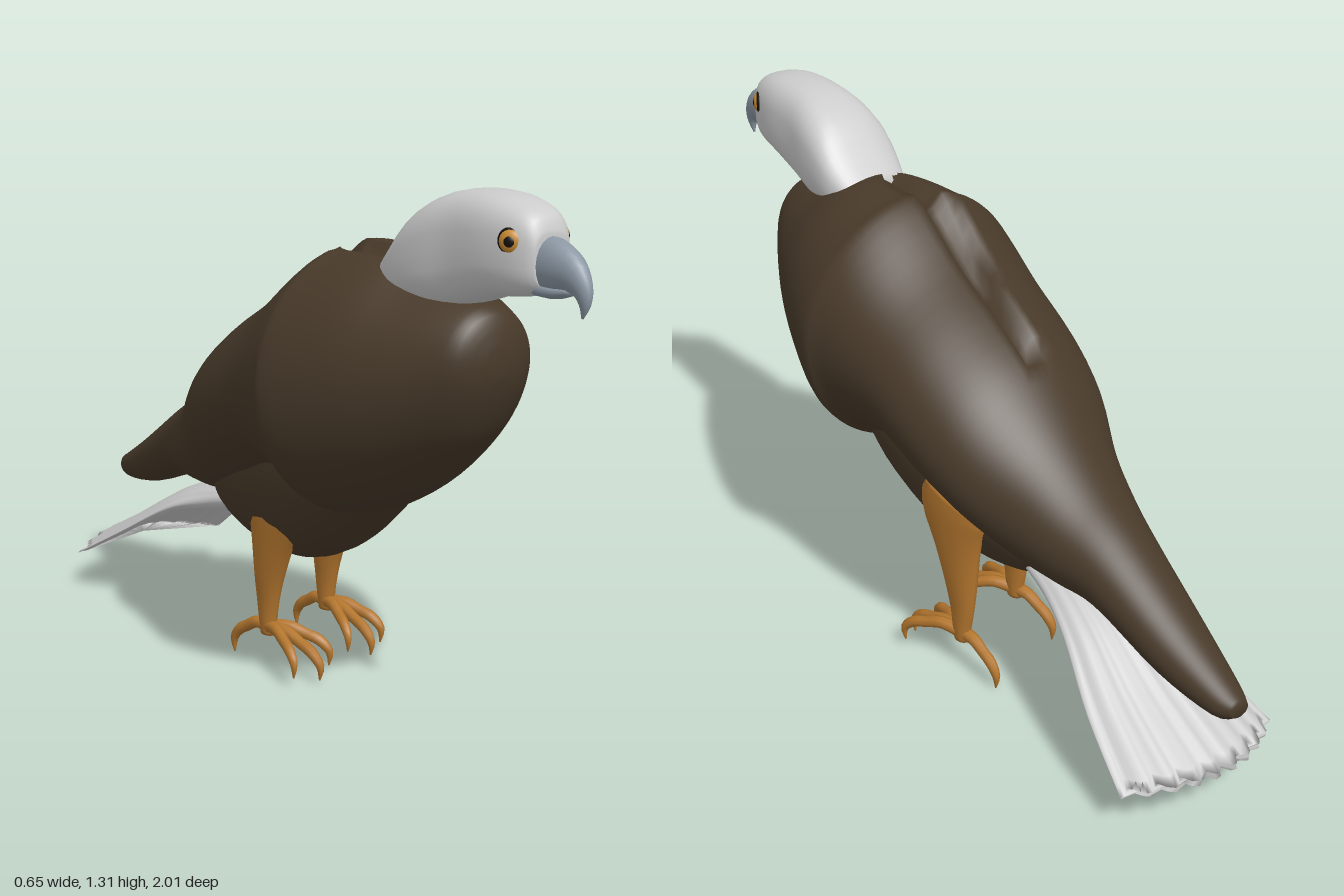
import * as THREE from 'three';

const mat = (color) => new THREE.MeshStandardMaterial({ color });
const brown = mat(0x483a2a), white = mat(0xd6d6d6), orange = mat(0xb5772f);
const horn = mat(0x8c98a4), black = mat(0x141210), amber = mat(0xc98a30);

// Catmull-Rom refinement of a table of section rows
function refine(rows, n) {
  const out = [];
  const at = (i) => rows[Math.max(0, Math.min(rows.length - 1, i))];
  for (let i = 0; i < rows.length - 1; i++) {
    for (let k = 0; k < n; k++) {
      const t = k / n;
      out.push(rows[i].map((b, c) => {
        const a = at(i - 1)[c], d = at(i + 1)[c], e = at(i + 2)[c];
        return 0.5 * (2 * b + (d - a) * t + (2 * a - 5 * b + 4 * d - e) * t * t + (3 * b - a - 3 * d + e) * t ** 3);
      }));
    }
  }
  out.push(rows[rows.length - 1]);
  return out;
}

// Closed skin over rings of points, with fan caps, always facing outwards
function skin(name, rings, material) {
  const seg = rings[0].length, pts = rings.flat(), idx = [];
  for (let i = 0; i < rings.length - 1; i++) {
    for (let j = 0; j < seg; j++) {
      const a = i * seg + j, b = i * seg + (j + 1) % seg;
      idx.push(a, a + seg, b, b, a + seg, b + seg);
    }
  }
  [0, rings.length - 1].forEach((r, end) => {
    const c = new THREE.Vector3();
    rings[r].forEach((p) => c.addScaledVector(p, 1 / seg));
    pts.push(c);
    for (let j = 0; j < seg; j++) {
      const a = r * seg + j, b = r * seg + (j + 1) % seg;
      idx.push(pts.length - 1, end ? b : a, end ? a : b);
    }
  });
  const m = new THREE.Vector3();
  let volume = 0;
  for (let i = 0; i < idx.length; i += 3) {
    volume += m.crossVectors(pts[idx[i]], pts[idx[i + 1]]).dot(pts[idx[i + 2]]);
  }
  if (volume < 0) idx.reverse();
  const geo = new THREE.BufferGeometry().setFromPoints(pts);
  geo.setIndex(idx);
  geo.computeVertexNormals();
  const mesh = new THREE.Mesh(geo, material);
  mesh.name = name;
  return mesh;
}

const power = (v, e) => Math.sign(v) * Math.abs(v) ** e;

// Upright slices: rows of [z, top, bottom, halfWidth]; e < 1 makes them boxier
function slices(name, rows, material, { n = 3, seg = 32, e = 1, rule = (p) => p } = {}) {
  const rings = refine(rows, n).map(([z, top, bottom, w]) =>
    Array.from({ length: seg }, (_, j) => {
      const a = (j / seg) * Math.PI * 2;
      return rule(new THREE.Vector3(w * power(Math.cos(a), e),
        (top + bottom) / 2 + (top - bottom) / 2 * power(Math.sin(a), e), z));
    }));
  return skin(name, rings, material);
}

// Tapered limb bent in the zy plane: rows of [z, y, sideRadius, depthRadius]
function limb(name, rows, material, seg = 12, n = 3) {
  const path = refine(rows, n);
  const rings = path.map(([z, y, rx, r], i) => {
    const p = path[Math.max(0, i - 1)], q = path[Math.min(path.length - 1, i + 1)];
    const l = Math.hypot(q[0] - p[0], q[1] - p[1]) || 1;
    const tz = (q[0] - p[0]) / l, ty = (q[1] - p[1]) / l;
    return Array.from({ length: seg }, (_, j) => {
      const a = (j / seg) * Math.PI * 2, s = Math.sin(a) * r;
      return new THREE.Vector3(Math.cos(a) * rx, y + tz * s, z - ty * s);
    });
  });
  return skin(name, rings, material);
}

function makeLeg(name, x, z, footTurn, toeAngles) {
  const leg = new THREE.Group();
  leg.name = name;
  leg.position.set(x, 0, z);
  leg.add(limb('thighAndShin', [[0.03, 0.51, 0.03, 0.12], [0.035, 0.45, 0.036, 0.125], [0.02, 0.36, 0.036, 0.085],
    [0.005, 0.26, 0.032, 0.055], [0, 0.19, 0.025, 0.04], [0, 0.13, 0.022, 0.028], [0, 0.095, 0.018, 0.024]], orange));
  // Three front toes and a shorter back toe, each ending in a hooked claw
  const toe = [[0, 0.115, 0.018, 0.018], [0.06, 0.118, 0.016, 0.016], [0.11, 0.1, 0.014, 0.015],
    [0.15, 0.085, 0.014, 0.015], [0.18, 0.055, 0.01, 0.011], [0.178, 0.018, 0.002, 0.002]];
  [...toeAngles, Math.PI].forEach((angle, i) => {
    const k = i === 3 ? 0.72 : i === 1 ? 1.05 : 0.95;
    const lift = [0.015, 0, 0.015, -0.008][i];
    const mesh = limb('toe', toe.map(([d, y, a, b]) => [d * k, y + lift * d / 0.18, a, b]), orange, 8);
    mesh.rotation.y = angle + footTurn;
    leg.add(mesh);
  });
  return leg;
}

function makeEye(side) {
  const eye = new THREE.Group();
  eye.name = side > 0 ? 'leftEye' : 'rightEye';
  [[0.03, 0, black], [0.025, 0.006, amber], [0.014, 0.013, black]].forEach(([r, z, m], i) => {
    const ball = new THREE.Mesh(new THREE.SphereGeometry(r, 20, 12), m);
    ball.name = ['eyeRim', 'iris', 'pupil'][i];
    ball.scale.z = 0.5;
    ball.position.z = z;
    eye.add(ball);
  });
  eye.position.set(side * 0.066, 1.235, 0.832);
  eye.rotation.y = side * 1.0;
  return eye;
}

// Fan of tail feathers: scalloped tip, ribbed and arched across
function makeTail() {
  const seg = 96;
  const rows = refine([[0, 0.39, 0.07, 0.035], [0.2, 0.365, 0.09, 0.04], [0.42, 0.325, 0.13, 0.03],
    [0.7, 0.23, 0.19, 0.018], [1, 0.135, 0.235, 0.008]], 5);
  const rings = rows.map(([v, y, w, h]) => Array.from({ length: seg }, (_, j) => {
    const a = (j / seg) * Math.PI * 2, u = Math.cos(a);
    const f = Math.abs(Math.sin(u * 4.5 * Math.PI));
    const reach = 0.68 - 0.1 * u * u + 0.03 * (f - 1) * v ** 3;
    const drop = (reach - 0.68) * -0.5 * v - 0.075 * u * u * v;
    return new THREE.Vector3(u * w, y + drop + 0.012 * (f - 0.5) * v + h * Math.sin(a), -0.3 - reach * v);
  }));
  return skin('tailFan', rings, white);
}

export function createModel() {
  const bird = new THREE.Group();
  bird.name = 'bird';

  // Body with folded wings; the rule sinks a groove beside the ridge of the back
  bird.add(slices('bodyAndWings', [
    [0.722, 0.98, 0.92, 0.03], [0.7, 1.05, 0.85, 0.1], [0.64, 1.08, 0.75, 0.15], [0.52, 1.11, 0.64, 0.22],
    [0.4, 1.15, 0.555, 0.275], [0.26, 1.15, 0.49, 0.322], [0.2, 1.145, 0.515, 0.312], [0.05, 1.035, 0.55, 0.288],
    [-0.1, 0.95, 0.5, 0.275], [-0.23, 0.865, 0.445, 0.245], [-0.36, 0.745, 0.4, 0.185], [-0.48, 0.655, 0.39, 0.145],
    [-0.6, 0.585, 0.385, 0.112], [-0.8, 0.46, 0.315, 0.083], [-0.95, 0.375, 0.29, 0.05], [-1, 0.35, 0.31, 0.025],
  ], brown, {
    n: 4, seg: 72,
    rule: (p) => {
      const width = 0.085 + 0.02 * Math.sin(p.z * 14);
      if (p.y > 0.8 && p.x < -0.002 && p.x > -width && p.z > -0.22 && p.z < 0.4) {
        p.y -= 0.05 * Math.min(1, (p.x + width) / 0.04);
      }
      return p;
    },
  }));

  bird.add(slices('belly', [
    [0.42, 0.75, 0.6, 0.08], [0.3, 0.78, 0.49, 0.14], [0.18, 0.8, 0.385, 0.16], [0.05, 0.8, 0.32, 0.16],
    [-0.08, 0.78, 0.295, 0.15], [-0.2, 0.7, 0.305, 0.14], [-0.32, 0.6, 0.34, 0.11], [-0.4, 0.5, 0.4, 0.06],
  ], brown));

  bird.add(slices('headAndNeck', [
    [0.885, 1.25, 1.14, 0.045], [0.87, 1.285, 1.125, 0.06], [0.83, 1.307, 1.112, 0.078], [0.75, 1.322, 1.1, 0.094],
    [0.65, 1.32, 1.068, 0.1], [0.57, 1.3, 1.047, 0.112], [0.5, 1.258, 1.045, 0.116], [0.44, 1.19, 1.04, 0.11],
    [0.38, 1.135, 1.03, 0.09],
  ], white, { e: 0.72 }));

  bird.add(limb('upperBeak', [[0.84, 1.185, 0.046, 0.06], [0.9, 1.187, 0.042, 0.058], [0.95, 1.177, 0.031, 0.043],
    [0.983, 1.148, 0.02, 0.026], [0.991, 1.118, 0.011, 0.014], [0.985, 1.09, 0.002, 0.003]], horn, 20));
  bird.add(limb('lowerBeak', [[0.82, 1.14, 0.045, 0.02], [0.9, 1.135, 0.032, 0.018], [0.955, 1.14, 0.012, 0.008]], horn, 16));
  bird.add(makeEye(1), makeEye(-1));

  bird.add(makeTail());
  bird.add(makeLeg('leftLeg', 0.135, -0.15, 0.08, [-0.33, 0, 0.33]));
  bird.add(makeLeg('rightLeg', -0.095, -0.075, 0.2, [-0.38, 0, 0.38]));
  return bird;
}
